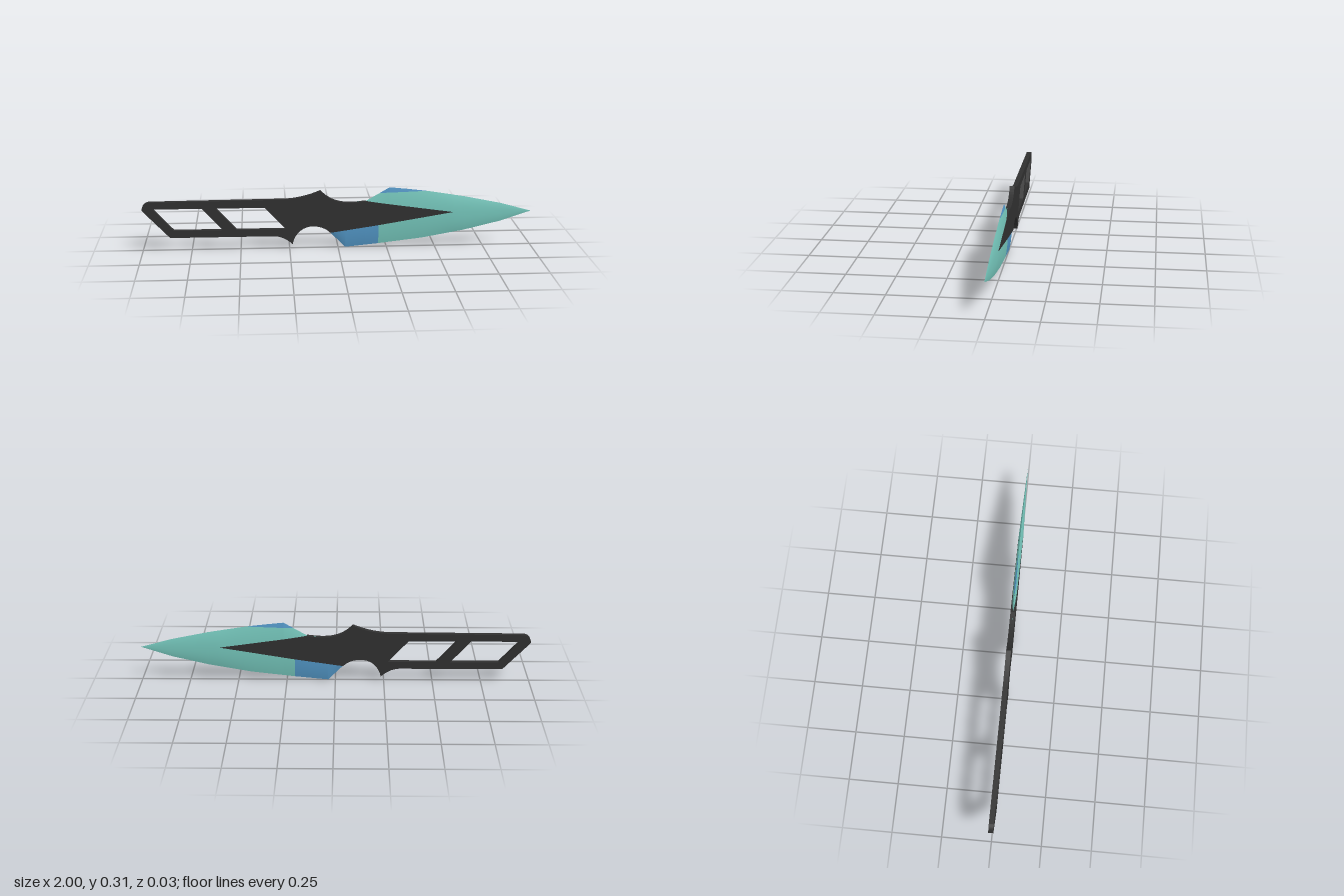
import * as THREE from 'three';

const black = new THREE.MeshStandardMaterial({ color: 0x303030 });
black.name = 'charcoal';
const teal = new THREE.MeshStandardMaterial({ color: 0x76c8bd });
teal.name = 'teal';
const blue = new THREE.MeshStandardMaterial({ color: 0x5398c8 });
blue.name = 'blue';

// Blade edges as [x, y] points
const topEdge = [[-0.04, 0.24], [0.14, 0.244], [0.265, 0.316], [0.36, 0.306], [0.46, 0.294], [0.65, 0.263], [0.84, 0.224], [1, 0.18]];
const bottomEdge = [[-0.04, 0.08], [0.037, 0.002], [0.21, 0.019], [0.435, 0.045], [0.65, 0.083], [0.84, 0.128], [1, 0.18]];

function along(points, x) {
  for (let i = 1; i < points.length; i++) {
    const [x0, y0] = points[i - 1], [x1, y1] = points[i];
    if (x <= x1) return y0 + (y1 - y0) * (x - x0) / (x1 - x0);
  }
  return points[points.length - 1][1];
}
const top = (x) => along(topEdge, x);
const bottom = (x) => along(bottomEdge, x);

// Half thickness of the blade: a lens across, thinning towards the tip
function halfThickness(x, y) {
  const middle = (top(x) + bottom(x)) / 2;
  const half = Math.max((top(x) - bottom(x)) / 2, 1e-5);
  const u = Math.min(1, Math.abs(y - middle) / half);
  const taper = x < 0.6 ? 1 : Math.max(0, 1 - (x - 0.6) / 0.4);
  return 0.0118 * taper * (1 - Math.pow(u, 2.3));
}

// A piece of both blade faces between two height rules
function bladePatch(name, material, x0, x1, low, high) {
  const xs = [x0, x1];
  for (let i = 1; i < 40; i++) xs.push(x0 + (x1 - x0) * i / 40);
  for (const [x] of [...topEdge, ...bottomEdge]) if (x > x0 && x < x1) xs.push(x);
  xs.sort((a, b) => a - b);
  const rows = 16, position = [], index = [];
  for (const side of [1, -1]) {
    const base = position.length / 3;
    xs.forEach((x, i) => {
      for (let j = 0; j <= rows; j++) {
        const y = low(x) + (high(x) - low(x)) * j / rows;
        position.push(x, y, side * halfThickness(x, y));
        if (i === 0 || j === 0) continue;
        const d = base + i * (rows + 1) + j, c = d - 1, b = d - rows - 1, a = b - 1;
        if (side > 0) index.push(a, c, d, a, d, b);
        else index.push(a, d, c, a, b, d);
      }
    });
  }
  const geometry = new THREE.BufferGeometry();
  geometry.setAttribute('position', new THREE.Float32BufferAttribute(position, 3));
  geometry.setIndex(index);
  geometry.computeVertexNormals();
  const mesh = new THREE.Mesh(geometry, material);
  mesh.name = name;
  return mesh;
}

// Flat handle with finger notches, two slanted windows and a spear-shaped tang
function makeHandle() {
  const s = new THREE.Shape();
  s.moveTo(-1, 0.215);
  s.lineTo(-0.86, 0.069);
  s.lineTo(-0.33, 0.069);
  s.quadraticCurveTo(-0.28, 0.067, -0.235, 0.025);
  s.bezierCurveTo(-0.21, 0.14, -0.09, 0.135, -0.04, 0.082);
  s.lineTo(0.205, 0.118);
  s.lineTo(0.595, 0.182);
  s.lineTo(0.14, 0.246);
  s.bezierCurveTo(0.04, 0.232, -0.03, 0.238, -0.09, 0.304);
  s.quadraticCurveTo(-0.18, 0.266, -0.27, 0.262);
  s.lineTo(-0.965, 0.257);
  s.quadraticCurveTo(-0.998, 0.25, -1, 0.215);
  for (const x of [0, 0.32]) {
    s.holes.push(new THREE.Path([
      new THREE.Vector2(x - 0.945, 0.221), new THREE.Vector2(x - 0.695, 0.221),
      new THREE.Vector2(x - 0.59, 0.106), new THREE.Vector2(x - 0.84, 0.106),
    ]));
  }
  const geometry = new THREE.ExtrudeGeometry(s, { depth: 0.025, bevelEnabled: false, curveSegments: 14 });
  geometry.translate(0, 0, -0.0125);
  const mesh = new THREE.Mesh(geometry, black);
  mesh.name = 'handle';
  return mesh;
}

export function createModel() {
  const group = new THREE.Group();
  group.name = 'throwingKnife';
  const spine = () => 0.18;
  // Lower border of the blue patch on the upper edge
  const patchLine = (x) => Math.min(top(x), 0.287 + (x - 0.215) * 0.03);
  group.add(
    makeHandle(),
    bladePatch('lowerBlade', teal, 0.208, 1, bottom, spine),
    bladePatch('upperBladeRear', teal, 0.1, 0.46, spine, patchLine),
    bladePatch('upperBladeFront', teal, 0.46, 1, spine, top),
    bladePatch('lowerBluePatch', blue, -0.04, 0.208, bottom, spine),
    bladePatch('upperBluePatch', blue, 0.215, 0.46, patchLine, top),
  );
  return group;
}
